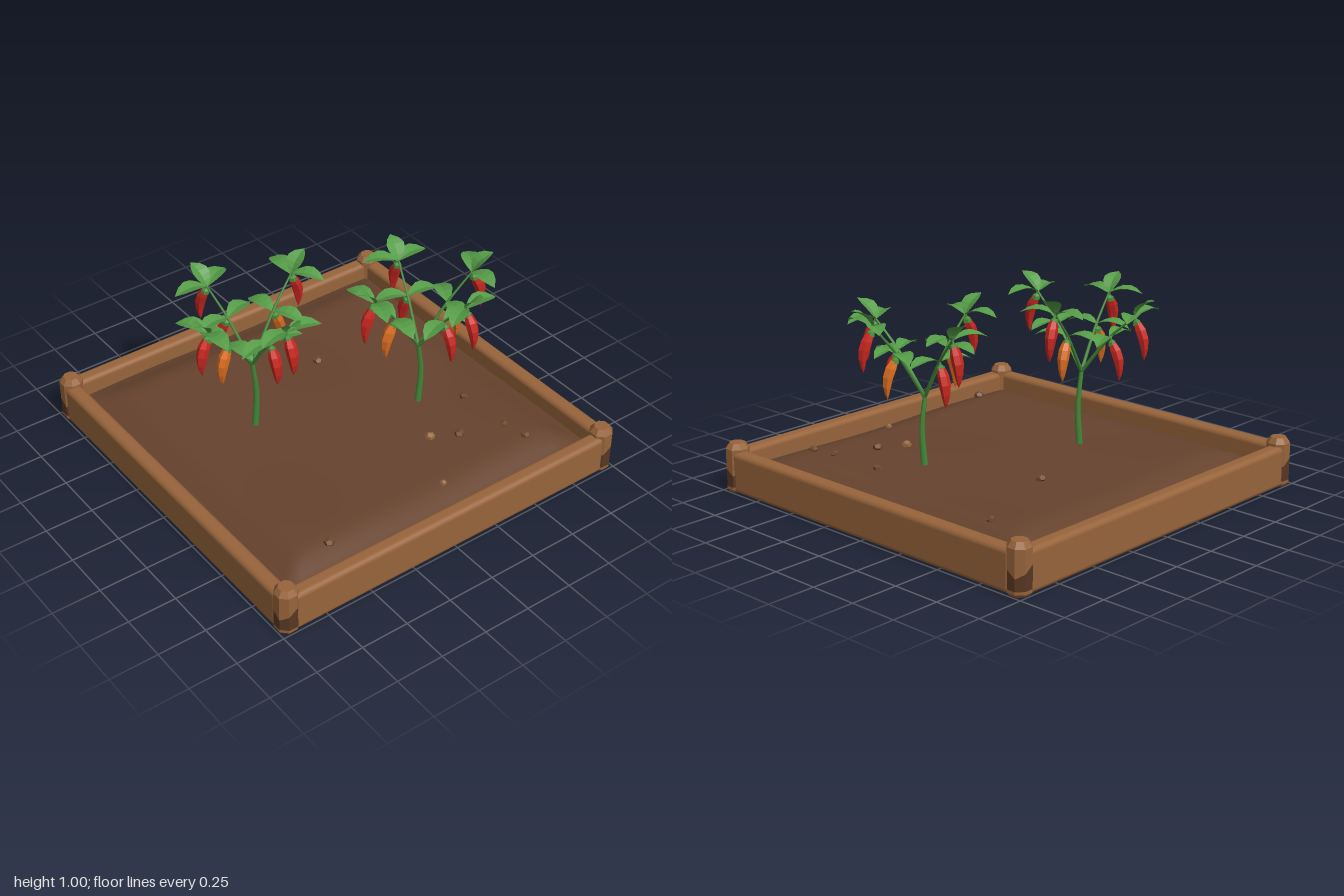
import * as THREE from 'three';
import { RoundedBoxGeometry } from 'three/addons/geometries/RoundedBoxGeometry.js';

const mat = (name, color, opts = {}) => {
  const m = new THREE.MeshStandardMaterial({ color, ...opts });
  m.name = name;
  return m;
};

// Faceted copy of a geometry
const flat = (g) => {
  const f = g.index ? g.toNonIndexed() : g;
  f.computeVertexNormals();
  return f;
};

const lathe = (pts, sides, phase = 0) =>
  new THREE.LatheGeometry(pts.map(([r, y]) => new THREE.Vector2(r, y)), sides, phase);

// Tube whose radius narrows from r0 to r1
function taperedTube(points, r0, r1, segs) {
  const path = new THREE.CatmullRomCurve3(points);
  const g = new THREE.TubeGeometry(path, segs, 1, 6);
  const p = g.attributes.position, v = new THREE.Vector3();
  for (let i = 0; i < p.count; i++) {
    const t = Math.floor(i / 7) / segs, c = path.getPointAt(t);
    v.fromBufferAttribute(p, i).sub(c).multiplyScalar(r0 + (r1 - r0) * t).add(c);
    p.setXYZ(i, v.x, v.y, v.z);
  }
  g.computeVertexNormals();
  return g;
}

// Leaf along +z, folded at the midrib and arching down to the tip
function leafGeometry(length) {
  const half = [0.006, 0.03, 0.044, 0.046, 0.032, 0.0];
  const pos = [], idx = [];
  half.forEach((w, i) => {
    const t = i / (half.length - 1);
    const y = 0.1 * length * Math.sin(Math.PI * t) - 0.1 * length * t * t;
    for (const s of [-1, 0, 1]) pos.push(s * w, y + Math.abs(s) * w * 0.3, t * length);
    if (i) for (const k of [0, 1]) {
      const a = (i - 1) * 3 + k, b = a + 3;
      idx.push(a, b, a + 1, a + 1, b, b + 1);
    }
  });
  const g = new THREE.BufferGeometry();
  g.setAttribute('position', new THREE.Float32BufferAttribute(pos, 3));
  g.setIndex(idx);
  return flat(g);
}

// Pepper hanging down from its origin, bowed outward
function pepperGeometry() {
  const g = lathe([[0, -0.2], [0.011, -0.175], [0.02, -0.14], [0.028, -0.09],
    [0.029, -0.045], [0.02, -0.008], [0, 0]], 6);
  const p = g.attributes.position;
  for (let i = 0; i < p.count; i++)
    p.setZ(i, p.getZ(i) + 0.02 * Math.sin(Math.PI * -p.getY(i) / 0.2));
  return flat(g);
}

const soilHeight = (x, z) => {
  const edge = Math.max(Math.abs(x), Math.abs(z));
  return 0.178 + 0.006 * Math.sin(5 * x + 1) * Math.cos(4 * z)
    - 0.07 * THREE.MathUtils.smoothstep(edge, 0.72, 0.95);
};

export function createModel() {
  const model = new THREE.Group();
  model.name = 'pepperBed';
  const wood = mat('wood', 0x97643b);
  const darkWood = mat('dark wood', 0x583722);
  const soilMat = mat('soil', 0x66432e, { side: THREE.DoubleSide });
  const stone = mat('pebble brown', 0x70482e);
  const paleStone = mat('pebble tan', 0x9a6b42);
  const stemMat = mat('stem green', 0x478a3a);
  const leafMat = mat('leaf green', 0x559c47, { side: THREE.DoubleSide });
  const red = mat('ripe red', 0xc9261f);
  const orange = mat('unripe orange', 0xdb6d1f);

  const add = (parent, name, geo, material) => {
    const m = new THREE.Mesh(geo, material);
    m.name = name;
    parent.add(m);
    return m;
  };

  // Planks on the four sides
  const plankGeo = new RoundedBoxGeometry(1.86, 0.21, 0.082, 3, 0.026);
  for (let i = 0; i < 4; i++) {
    const a = i * Math.PI / 2;
    const plank = add(model, 'plank', plankGeo, wood);
    plank.position.set(Math.sin(a) * 0.954, 0.105, Math.cos(a) * 0.954);
    plank.rotation.y = a;
  }

  // Octagonal corner posts with an uneven dark band near the foot
  const R = 0.055 / Math.cos(Math.PI / 8), phase = Math.PI / 8;
  const uneven = (g, y0) => {
    const p = g.attributes.position;
    for (let i = 0; i < p.count; i++) if (Math.abs(p.getY(i) - y0) < 1e-4) {
      const a = Math.atan2(p.getX(i), p.getZ(i));
      p.setY(i, y0 + 0.028 * Math.sin(2 * a + 0.6));
    }
    return flat(g);
  };
  const footGeo = flat(lathe([[0, 0], [R * 0.8, 0], [R, 0.015], [R, 0.03]], 8, phase));
  const bandGeo = uneven(lathe([[R, 0.03], [R, 0.115]], 8, phase), 0.115);
  const topGeo = uneven(lathe([[R, 0.115], [R, 0.222], [R * 0.65, 0.25], [0, 0.25]], 8, phase), 0.115);
  for (const x of [-1, 1]) for (const z of [-1, 1]) {
    const post = new THREE.Group();
    post.name = 'cornerPost';
    post.position.set(x * 0.945, 0, z * 0.945);
    add(post, 'postFoot', footGeo, wood);
    add(post, 'postBand', bandGeo, darkWood);
    add(post, 'postTop', topGeo, wood);
    model.add(post);
  }

  // Soil sheet, gently mounded
  const soilGeo = new THREE.PlaneGeometry(1.88, 1.88, 36, 36).rotateX(-Math.PI / 2);
  const sp = soilGeo.attributes.position;
  for (let i = 0; i < sp.count; i++) sp.setY(i, soilHeight(sp.getX(i), sp.getZ(i)));
  soilGeo.computeVertexNormals();
  add(model, 'soil', soilGeo, soilMat);

  // Pebbles: x, z, radius, pale
  const pebbleGeo = new THREE.DodecahedronGeometry(1);
  [[0.74, -0.58, 0.021], [0.19, -0.38, 0.027], [0.27, 0.45, 0.026, 1], [0.4, 0.52, 0.028],
    [0.61, 0.3, 0.022], [0.62, 0.595, 0.022], [0.65, 0.72, 0.023], [0.11, 0.75, 0.017, 1],
    [-0.58, 0.77, 0.027]].forEach(([x, z, r, pale], i) => {
    const p = add(model, 'pebble', pebbleGeo, pale ? paleStone : stone);
    p.position.set(x, soilHeight(x, z) + r * 0.3, z);
    p.scale.set(r, r * 0.8, r);
    p.rotation.y = i * 1.3;
  });

  // Pepper plants
  const sideLeaf = leafGeometry(0.175), tipLeaf = leafGeometry(0.14), pepperGeo = pepperGeometry();
  const calyxGeo = flat(lathe([[0.023, -0.018], [0.019, 0], [0.006, 0.01], [0.004, 0.03], [0, 0.03]], 6));

  const addLeaf = (plant, geo, at, yaw, pitch) => {
    const leaf = add(plant, 'leaf', geo, leafMat);
    leaf.position.copy(at);
    leaf.rotation.set(-pitch, yaw, 0, 'YXZ');
  };
  const addPepper = (plant, at, yaw, material) => {
    const pepper = new THREE.Group();
    pepper.name = 'pepper';
    pepper.position.set(at.x + Math.sin(yaw) * 0.01, at.y - 0.022, at.z + Math.cos(yaw) * 0.01);
    pepper.rotation.set(-0.22, yaw, 0, 'YXZ');
    add(pepper, 'fruit', pepperGeo, material);
    add(pepper, 'calyx', calyxGeo, stemMat);
    plant.add(pepper);
  };

  // Each branch: end x, y, z and the colour of its lower pepper
  const buildPlant = (name, x, z, top, branches) => {
    const plant = new THREE.Group();
    plant.name = name;
    model.add(plant);
    const node = new THREE.Vector3(x - 0.005, top, z);
    add(plant, 'stem', taperedTube([new THREE.Vector3(x, 0.13, z),
      new THREE.Vector3(x + 0.012, 0.37, z + 0.005), node], 0.019, 0.011, 8), stemMat);
    for (const [ex, ey, ez, lower] of branches) {
      const end = new THREE.Vector3(ex, ey, ez);
      const mid = node.clone().lerp(end, 0.54);
      mid.y += 0.025;
      const yaw = Math.atan2(ex - node.x, ez - node.z);
      add(plant, 'branch', taperedTube([node, mid, end], 0.01, 0.005, 6), stemMat);
      for (const s of [-1, 1]) {
        addLeaf(plant, sideLeaf, mid, yaw + s * 1.45, 0.05);
        addLeaf(plant, sideLeaf, end, yaw + s * 1.3, 0.12);
      }
      addLeaf(plant, tipLeaf, end, yaw, 0.8);
      addPepper(plant, mid, yaw, lower);
      addPepper(plant, end, yaw, red);
    }
  };
  buildPlant('rearPlant', -0.36, -0.15, 0.55, [
    [-0.645, 0.89, -0.085, orange], [-0.07, 0.91, -0.235, orange],
    [-0.425, 0.87, -0.435, red], [-0.365, 0.91, 0.145, red]]);
  buildPlant('frontPlant', 0.405, 0.18, 0.52, [
    [0.13, 0.88, 0.17, orange], [0.655, 0.9, 0.26, orange],
    [0.465, 0.86, -0.075, red], [0.46, 0.87, 0.45, red]]);
  return model;
}
